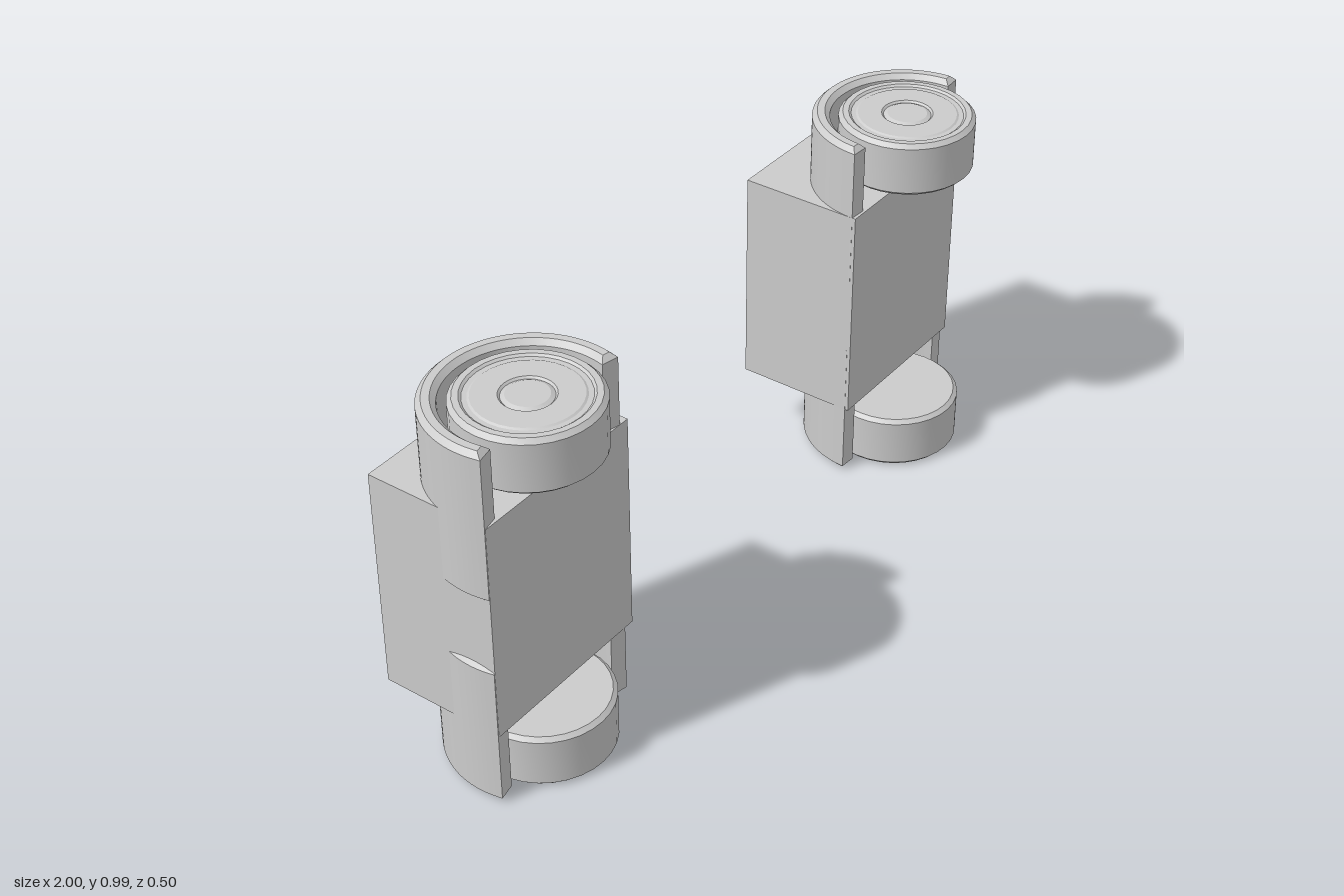
import * as THREE from 'three';
import { toCreasedNormals } from 'three/addons/utils/BufferGeometryUtils.js';

const H = 0.985; // overall height
const material = new THREE.MeshStandardMaterial({ color: 0xcccccc });

function part(name, geometry, parent) {
  const mesh = new THREE.Mesh(geometry, material);
  mesh.name = name;
  parent.add(mesh);
  return mesh;
}

// Bevelled C-shaped collar, open to the front; overhang is the arc past the half circle
function collarGeometry(overhang) {
  const bevel = 0.013, outer = 0.24 - bevel, inner = 0.195 + bevel, height = 0.4;
  const e = overhang - bevel / 0.22;
  const shape = new THREE.Shape();
  shape.absarc(0, 0, outer, -e, Math.PI + e, false);
  shape.absarc(0, 0, inner, Math.PI + e, -e, true);
  shape.closePath();
  const geo = new THREE.ExtrudeGeometry(shape, {
    depth: height - 2 * bevel, curveSegments: 28,
    bevelEnabled: true, bevelSize: bevel, bevelThickness: bevel, bevelSegments: 1,
  });
  geo.translate(0, 0, bevel).rotateX(-Math.PI / 2);
  return toCreasedNormals(geo, 0.5);
}

// Cap disc with chamfered edges, shallow ring step and a small centre boss on its outer face
function capGeometry() {
  const profile = [
    [0, 0], [0.163, 0], [0.174, 0.01], [0.174, 0.134], [0.163, 0.145], [0.148, 0.145],
    [0.142, 0.14], [0.13, 0.14], [0.125, 0.143], [0.065, 0.143], [0.06, 0.138],
    [0.05, 0.143], [0, 0.143],
  ].map(([r, y]) => new THREE.Vector2(r, y));
  return toCreasedNormals(new THREE.LatheGeometry(profile, 32), 0.4);
}

function buildUnit(name, x, boxX, boxFront, overhang) {
  const unit = new THREE.Group();
  unit.name = name;
  part('body', new THREE.BoxGeometry(0.49, 0.59, 0.33), unit)
    .position.set(boxX, 0.495, boxFront - 0.165);

  const collar = collarGeometry(overhang);
  const cap = capGeometry();
  part('lowerCollar', collar, unit).position.set(x, 0, 0.072);
  part('upperCollar', collar, unit).position.set(x, H - 0.4, 0.072);
  part('upperCap', cap, unit).position.set(x, H - 0.145, 0.072);

  // The lower cap is the upper one turned over
  const lower = part('lowerCap', cap, unit);
  lower.position.set(x, 0.145, 0.072);
  lower.rotation.x = Math.PI;
  return unit;
}

export function createModel() {
  const model = new THREE.Group();
  model.name = 'pairedBlocks';
  model.add(
    buildUnit('rightUnit', -0.76, -0.745, 0.135, 0.27),
    buildUnit('leftUnit', 0.75, 0.755, 0.08, 0),
  );
  return model;
}
